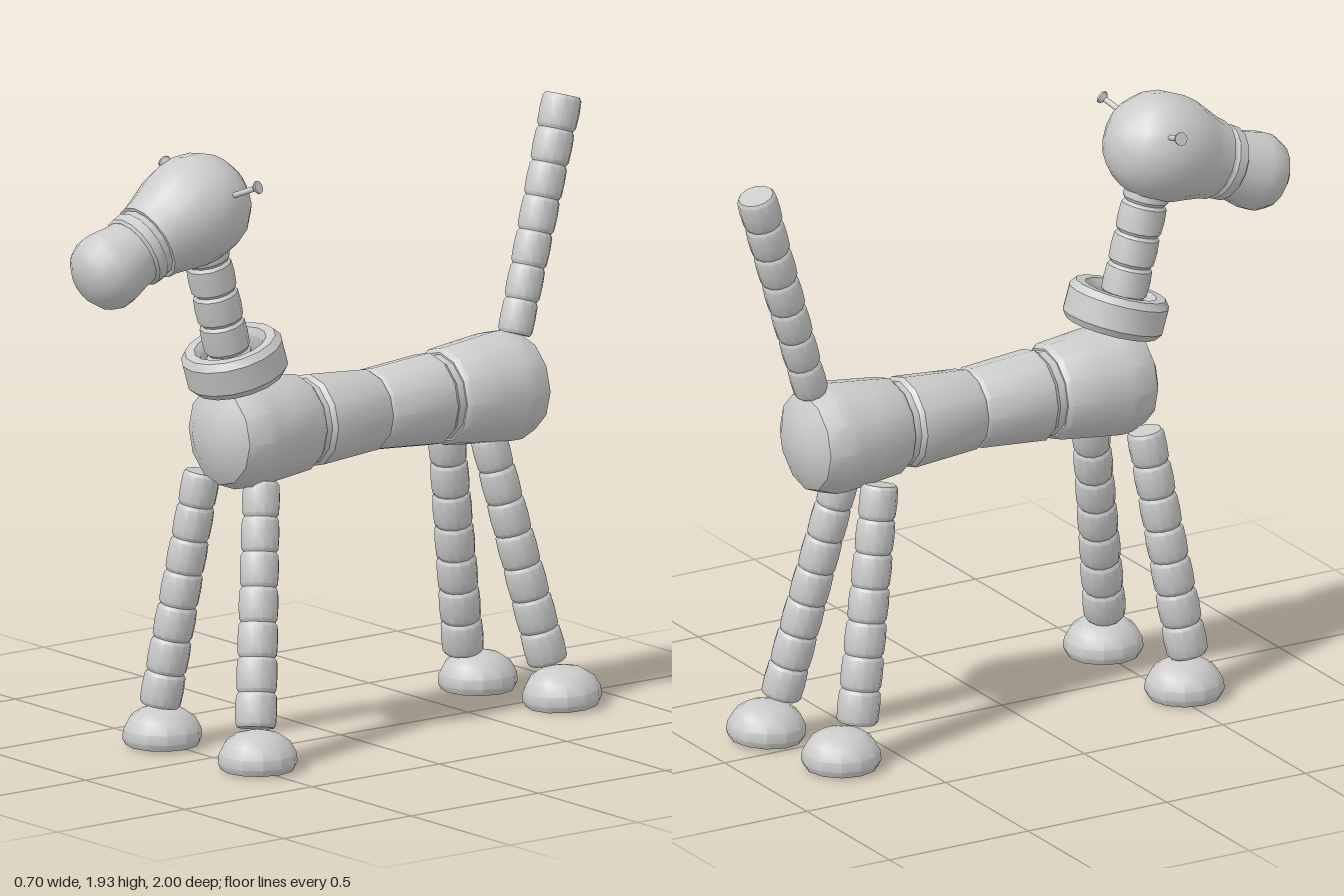
import * as THREE from 'three';
import { toCreasedNormals } from 'three/addons/utils/BufferGeometryUtils.js';

const UP = new THREE.Vector3(0, 1, 0);
const AXIS_X = -0.02;

export function createModel() {
  const model = new THREE.Group();
  model.name = 'beadedAnimal';
  const material = new THREE.MeshStandardMaterial({ color: 0xcccccc });

  // Turned part: profile of [radius, height] pairs, listed from bottom to top
  function turned(name, profile, sides = 12) {
    const points = profile.map(([r, h]) => new THREE.Vector2(r, h));
    const geometry = toCreasedNormals(new THREE.LatheGeometry(points, sides), 0.6);
    const mesh = new THREE.Mesh(geometry, material);
    mesh.name = name;
    return mesh;
  }

  // Group whose own y axis runs along the given direction
  function axisGroup(name, origin, direction) {
    const group = new THREE.Group();
    group.name = name;
    group.position.copy(origin);
    group.quaternion.setFromUnitVectors(UP, direction.clone().normalize());
    model.add(group);
    return group;
  }

  // String of bevelled beads between two points
  function beadString(name, from, to, count, rStart, rEnd) {
    const a = new THREE.Vector3(...from);
    const b = new THREE.Vector3(...to);
    const group = axisGroup(name, a, b.clone().sub(a));
    const step = a.distanceTo(b) / count;
    for (let i = 0; i < count; i++) {
      const r = THREE.MathUtils.lerp(rStart, rEnd, i / (count - 1));
      const bead = turned('bead', [
        [0, 0], [r * 0.86, 0], [r * 0.97, step * 0.1],
        [r, step * 0.5], [r * 0.97, step * 0.9], [r * 0.86, step], [0, step],
      ]);
      bead.position.y = i * step;
      group.add(bead);
    }
    return group;
  }

  // Body: two rounded ends and two waist pieces, mirrored about the middle
  const body = axisGroup('body', new THREE.Vector3(AXIS_X, 1.02, -0.13), new THREE.Vector3(0, 0, 1));
  const half = [
    ['waist', [[0, 0], [0.122, 0], [0.13, 0.012], [0.147, 0.235], [0.136, 0.25], [0, 0.25]]],
    ['waistJoint', [[0, 0.24], [0.136, 0.24], [0.136, 0.285], [0, 0.285]]],
    ['bodyEnd', [[0, 0.275], [0.142, 0.275], [0.155, 0.29], [0.168, 0.4], [0.178, 0.49],
      [0.178, 0.53], [0.155, 0.59], [0.09, 0.627], [0, 0.635]]],
  ];
  for (const turn of [0, Math.PI]) {
    const side = new THREE.Group();
    side.name = turn ? 'rearBody' : 'frontBody';
    side.rotation.x = turn;
    for (const [name, profile] of half) side.add(turned(name, profile));
    body.add(side);
  }

  // Legs and domed feet: top, bottom, foot centre, foot tilt
  const legs = [
    ['frontRight', [-0.145, 0.88, 0.43], [-0.212, 0.14, 0.545], [-0.225, 0.525], 0],
    ['frontLeft', [0.045, 0.87, 0.345], [0.215, 0.14, 0.5], [0.225, 0.5], 0],
    ['rearRight', [-0.135, 0.88, -0.52], [-0.215, 0.14, -0.65], [-0.22, -0.71], 0],
    ['rearLeft', [0.01, 0.88, -0.57], [0.09, 0.15, -0.745], [0.112, -0.785], 0.06],
  ];
  for (const [name, top, bottom, [fx, fz], tilt] of legs) {
    beadString(name + 'Leg', top, bottom, 7, 0.06, 0.067);
    const foot = turned(name + 'Foot', [
      [0, 0], [0.115, 0], [0.125, 0.02], [0.122, 0.05], [0.103, 0.085], [0.07, 0.108], [0.035, 0.117], [0, 0.12],
    ]);
    foot.position.set(fx, 0.013, fz);
    foot.rotation.x = tilt;
    model.add(foot);
  }

  // Tail
  beadString('tail', [-0.015, 1.18, -0.695], [-0.08, 1.895, -0.935], 7, 0.056, 0.064);

  // Neck
  beadString('neck', [AXIS_X, 1.19, 0.4], [AXIS_X, 1.68, 0.53], 5, 0.074, 0.074);

  // Collar ring around the neck
  const collar = axisGroup('collar', new THREE.Vector3(AXIS_X, 1.25, 0.4), new THREE.Vector3(0, 0.95, 0.29));
  collar.add(turned('collarRing', [
    [0.1, -0.04], [0.115, -0.062], [0.145, -0.062], [0.162, -0.04], [0.162, 0.04],
    [0.145, 0.062], [0.115, 0.062], [0.1, 0.04], [0.1, -0.04],
  ], 16));

  // Head: cranium, muzzle ring and snout along a downward axis
  const head = axisGroup('head', new THREE.Vector3(AXIS_X, 1.762, 0.55),
    new THREE.Vector3(0, -Math.sin(0.41), Math.cos(0.41)));
  head.add(turned('cranium', [
    [0, -0.172], [0.06, -0.161], [0.115, -0.128], [0.152, -0.08], [0.17, -0.025], [0.172, 0.03],
    [0.165, 0.08], [0.148, 0.13], [0.132, 0.18], [0.127, 0.212], [0, 0.212],
  ], 16));
  head.add(turned('muzzleRing', [
    [0, 0.2], [0.116, 0.2], [0.116, 0.228], [0.121, 0.236], [0.119, 0.268], [0.11, 0.276], [0, 0.276],
  ], 16));
  head.add(turned('snout', [
    [0, 0.265], [0.108, 0.265], [0.115, 0.32], [0.124, 0.365], [0.124, 0.4],
    [0.107, 0.44], [0.07, 0.468], [0.03, 0.479], [0, 0.48],
  ], 16));

  // Nail-shaped ears
  const nails = [
    ['rightEar', [-0.13, 1.83, 0.515], [-0.24, 1.86, 0.505]],
    ['leftEar', [0.1, 1.81, 0.53], [0.212, 1.86, 0.485]],
  ];
  for (const [name, from, to] of nails) {
    const a = new THREE.Vector3(...from);
    const b = new THREE.Vector3(...to);
    const length = a.distanceTo(b);
    axisGroup(name, a, b.sub(a)).add(turned('nail', [
      [0, 0], [0.009, 0], [0.009, length - 0.018], [0.021, length - 0.006], [0.021, length], [0, length],
    ]));
  }

  return model;
}
